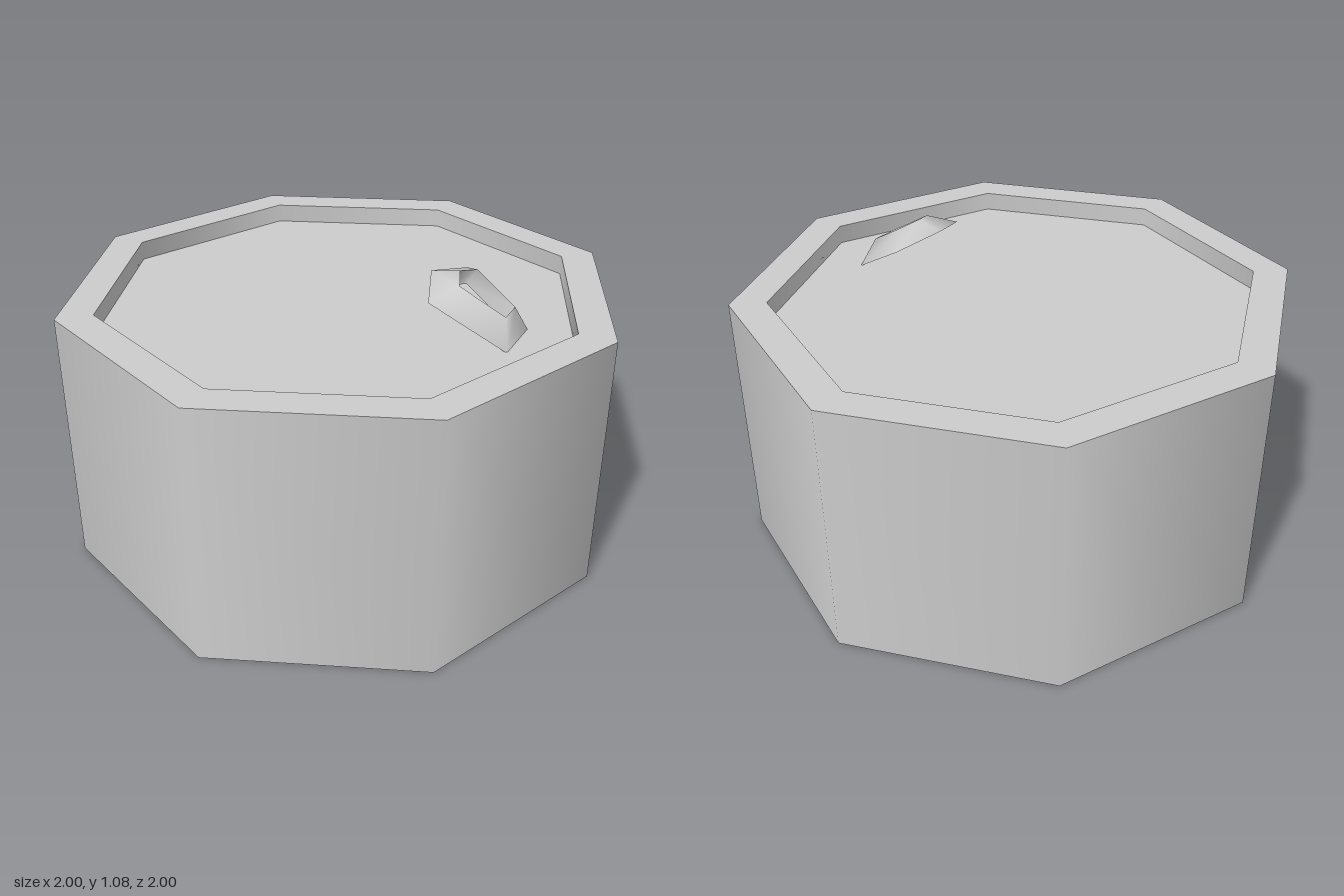
import * as THREE from 'three';
import { mergeGeometries } from 'three/addons/utils/BufferGeometryUtils.js';

const material = new THREE.MeshStandardMaterial({ color: 0xcccccc });

// One lathe band per profile step, so the sides shade smoothly and the rims stay crisp
function octagonBands(profile) {
  const bands = [];
  for (let i = 0; i + 1 < profile.length; i++) {
    const pair = [profile[i], profile[i + 1]].map(([r, y]) => new THREE.Vector2(r, y));
    bands.push(new THREE.LatheGeometry(pair, 8));
  }
  return mergeGeometries(bands);
}

// Closed band of quads between two loops with the same number of points
function loopBand(a, b) {
  const n = a.length;
  const index = [];
  for (let i = 0; i < n; i++) {
    const j = (i + 1) % n;
    index.push(i, j, n + j, i, n + j, n + i);
  }
  const geometry = new THREE.BufferGeometry().setFromPoints([...a, ...b]);
  geometry.setIndex(index);
  geometry.computeVertexNormals();
  return geometry;
}

// Mirrored five-sided loop in the tilted plane of the tab: u runs down the slope, h is height off it
function tabLoop([tip, shoulder, foot], h) {
  const origin = new THREE.Vector3(0.345, 1.06, 0);
  const along = new THREE.Vector3(0.857, -0.515, 0);
  const normal = new THREE.Vector3(0.515, 0.857, 0);
  return [tip, shoulder, foot, [foot[0], -foot[1]], [shoulder[0], -shoulder[1]]].map(([u, z]) =>
    origin.clone().addScaledVector(along, u).addScaledVector(normal, h).setZ(z));
}

export function createModel() {
  const group = new THREE.Group();
  const add = (name, geometry) => {
    const mesh = new THREE.Mesh(geometry, material);
    mesh.name = name;
    group.add(mesh);
  };

  // Can with raised rims and recessed lids at both ends
  add('canBody', octagonBands([[0.87, 0.07], [0.87, 0], [1, 0], [1, 0.94], [0.87, 0.94], [0.87, 0.87]]));
  add('topLid', octagonBands([[0.87, 0.87], [0, 0.87]]));
  add('bottomLid', octagonBands([[0, 0.07], [0.87, 0.07]]));

  // Pull tab: a tilted ring with a triangular section
  const opening = [[0.08, 0], [0.117, 0.08], [0.297, 0.045]];
  const outer = tabLoop([[0, 0], [0.076, 0.17], [0.379, 0.1]], 0);
  const innerTop = tabLoop(opening, 0.07);
  const innerBottom = tabLoop(opening, 0);
  add('pullTab', mergeGeometries([
    loopBand(outer, innerTop),
    loopBand(innerTop, innerBottom),
    loopBand(innerBottom, outer),
  ]));
  return group;
}
